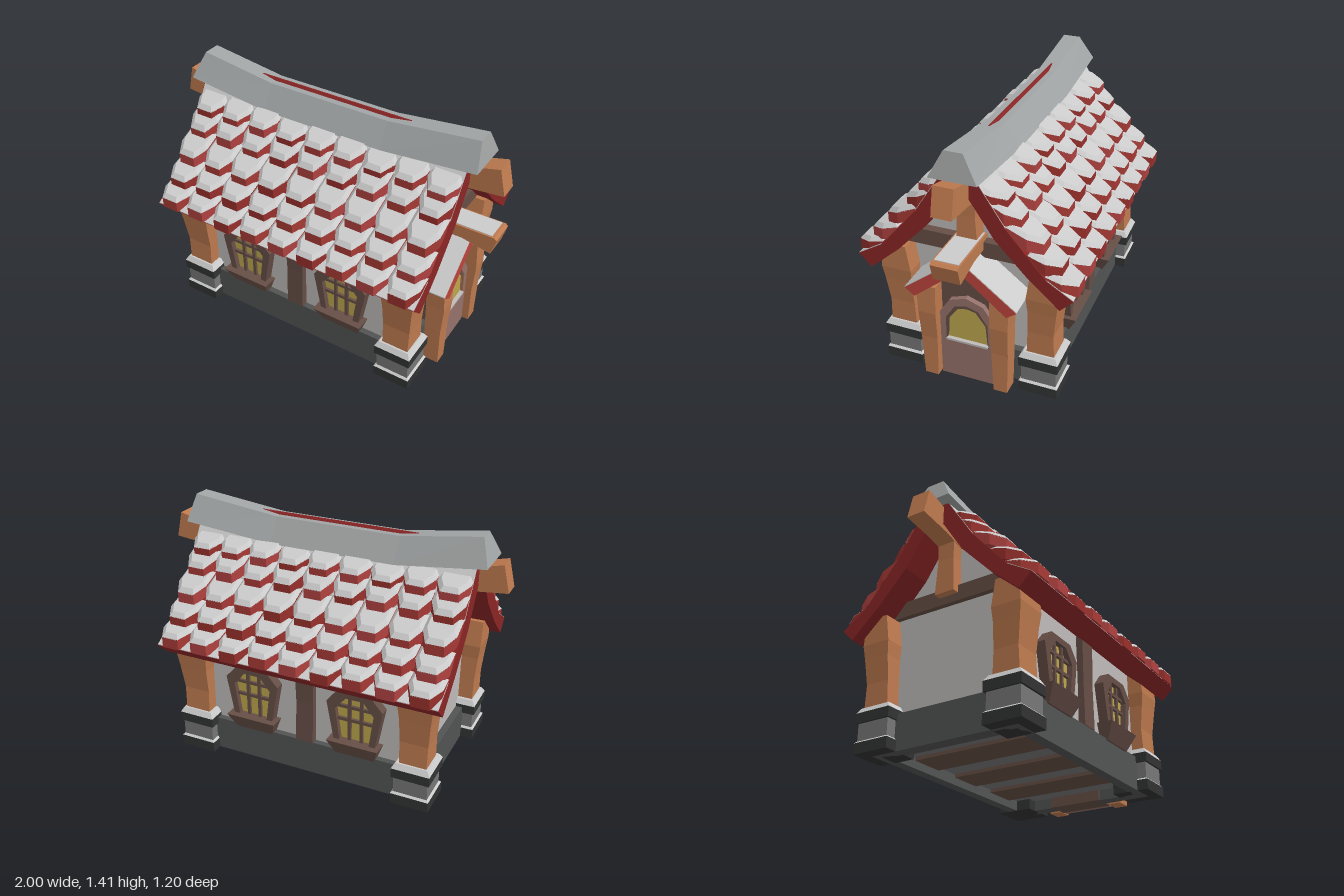
import * as THREE from 'three';

const mat = (color) => new THREE.MeshStandardMaterial({ color, flatShading: true });
const M = {
  wall: mat(0xbebbb9), snow: mat(0xc4c6c8), cap: mat(0xa2a5a5), timber: mat(0xbe7a4f), dark: mat(0x664e46),
  door: mat(0x95716a), glass: mat(0xbda64c), roof: mat(0x8a2525), porch: mat(0xbc443c),
  base: mat(0x525353), stone: mat(0x767676), band: mat(0x323333),
};
const tileReds = [mat(0xa83a36), mat(0x98302c), mat(0xb04240)];

function add(parent, name, geometry, material) {
  const mesh = new THREE.Mesh(geometry, material);
  mesh.name = name;
  parent.add(mesh);
  return mesh;
}

// Closed outline from its +side points, mirrored about the middle
const mirrored = (pts) => [...pts, ...pts.slice().reverse().filter((p) => p[0] !== 0).map(([a, y]) => [-a, y])];
const toShape = (pts) => new THREE.Shape(pts.map(([a, b]) => new THREE.Vector2(a, b)));

// Extrusion along z from z0 to z1, with an optional hole
function prismZ(pts, z0, z1, hole) {
  const shape = toShape(pts);
  if (hole) shape.holes.push(toShape(hole));
  return new THREE.ExtrudeGeometry(shape, { depth: z1 - z0, bevelEnabled: false }).translate(0, 0, z0);
}
// Same along x; points are [z, y]
function prismX(pts, x0, x1, hole) {
  const flip = (p) => p && p.map(([z, y]) => [-z, y]);
  return prismZ(flip(pts), x0, x1, flip(hole)).rotateY(Math.PI / 2);
}
function box(x0, x1, y0, y1, z0, z1) {
  return new THREE.BoxGeometry(x1 - x0, y1 - y0, z1 - z0).translate((x0 + x1) / 2, (y0 + y1) / 2, (z0 + z1) / 2);
}
// Stacked rectangles, each ring [y, x0, x1, z0, z1]
function column(rings) {
  const n = rings.length - 1;
  const g = new THREE.BoxGeometry(1, 1, 1, 1, n, 1);
  const p = g.attributes.position;
  for (let i = 0; i < p.count; i++) {
    const [y, x0, x1, z0, z1] = rings[Math.round((p.getY(i) + 0.5) * n)];
    p.setXYZ(i, p.getX(i) < 0 ? x0 : x1, y, p.getZ(i) < 0 ? z0 : z1);
  }
  g.computeVertexNormals();
  return g;
}

// Stone plinth with a carved timber post; out is the sign of its outward x
function corner(out) {
  const g = new THREE.Group();
  g.name = 'corner';
  const ring = (y, r) => [y, -r, r, 0.392 - r, 0.392 + r];
  add(g, 'plinthFoot', column([ring(0, 0.108), ring(0.06, 0.108)]), M.band);
  add(g, 'plinthFootSnow', column([ring(0.06, 0.108), ring(0.07, 0.098)]), M.snow);
  add(g, 'plinthBlock', column([ring(0.06, 0.096), ring(0.17, 0.096)]), M.stone);
  add(g, 'plinthBand', column([ring(0.165, 0.108), ring(0.22, 0.108)]), M.band);
  add(g, 'plinthSnow', column([ring(0.22, 0.108), ring(0.25, 0.09)]), M.snow);
  // Rings as [y, inner x, outer x, z0, z1]
  const rings = [
    [0.24, -0.074, 0.08, 0.32, 0.472], [0.38, -0.076, 0.082, 0.325, 0.466],
    [0.52, -0.078, 0.094, 0.328, 0.482], [0.6, -0.086, 0.104, 0.322, 0.492], [0.75, -0.086, 0.104, 0.345, 0.48],
  ];
  add(g, 'cornerPost', column(rings.map(([y, a, b, z0, z1]) => (out > 0 ? [y, a, b, z0, z1] : [y, -b, -a, z0, z1]))), M.timber);
  return g;
}

function windowUnit() {
  const g = new THREE.Group();
  g.name = 'window';
  const hole = mirrored([[0.085, 0.275], [0.112, 0.475], [0.05, 0.55]]);
  add(g, 'windowFrame', prismZ(mirrored([[0.115, 0.25], [0.163, 0.51], [0.095, 0.586]]), 0.39, 0.455, hole), M.dark);
  add(g, 'windowPane', prismZ(hole, 0.39, 0.425), M.glass);
  for (const x of [-0.035, 0.035]) add(g, 'windowBar', box(x - 0.009, x + 0.009, 0.27, 0.55, 0.42, 0.44), M.dark);
  for (const y of [0.41, 0.49]) add(g, 'windowBar', box(-0.112, 0.112, y - 0.009, y + 0.009, 0.42, 0.44), M.dark);
  add(g, 'flowerBox', column([[0.19, -0.115, 0.115, 0.39, 0.445], [0.285, -0.15, 0.15, 0.39, 0.492]]), M.dark);
  return g;
}

// Rows of tiles on one slope: tip [z, y] and back [z, y] of each row's upper face
const ROWS = [
  [0.6, 0.775, 0.44, 0.815], [0.515, 0.868, 0.35, 0.92], [0.42, 0.968, 0.24, 1.045],
  [0.305, 1.085, 0.16, 1.155], [0.235, 1.18, 0.09, 1.225],
];
const BEVEL = 0.02;
function tileSlope() {
  const g = new THREE.Group();
  g.name = 'roofTiles';
  const pitch = 0.1825, w = pitch / 2 - 0.001;
  ROWS.forEach(([z, y, zb, yb], r) => {
    const len = z - zb;
    const outline = [[-0.05, 0], [0.05, 0], [w, 0.075], [w, len], [-w, len], [-w, 0.075]];
    // Lay flat, then lift towards the back so that the front faces stay upright
    const slant = (geometry) => {
      const p = geometry.rotateX(-Math.PI / 2).attributes.position;
      for (let i = 0; i < p.count; i++) p.setY(i, p.getY(i) - (p.getZ(i) * (yb - y)) / len);
      geometry.computeVertexNormals();
      return geometry;
    };
    const body = slant(prismZ(outline, -0.083, -BEVEL));
    // Snow cushion with bevelled edges
    const snow = slant(new THREE.ExtrudeGeometry(toShape(outline), {
      depth: 0.003, bevelThickness: BEVEL, bevelSize: BEVEL, bevelOffset: -BEVEL, bevelSegments: 1,
    }).translate(0, 0, -BEVEL - 0.003));
    for (let c = 0; c < 9; c++) {
      const tile = new THREE.Group();
      tile.name = 'tile';
      add(tile, 'tileBody', body, tileReds[(c * 5 + r * 7 + ((c * r) % 4)) % 3]);
      add(tile, 'tileSnow', snow, M.snow);
      tile.position.set((c - 4) * pitch, y + 0.005 * Math.sin(c * 2.3 + r * 4.1), z);
      g.add(tile);
    }
  });
  // Snow on the shell at the eave and below the ridge
  for (const [[z0, y0], [z1, y1]] of [[[0.45, 0.775], [0.588, 0.69]], [[0.09, 1.25], [0.24, 1.02]]]) {
    add(g, 'shellSnow', prismX([[z0, y0], [z1, y1], [z1, y1 + 0.005], [z0, y0 + 0.005]], -0.822, 0.822), M.snow);
  }
  return g;
}

function porch() {
  const g = new THREE.Group();
  g.name = 'porch';
  for (const s of [-1, 1]) {
    const ring = (y, x0, x1, a, b) => [y, x0, x1, Math.min(s * a, s * b), Math.max(s * a, s * b)];
    add(g, 'porchPost', column([
      ring(0, 0.72, 0.812, 0.163, 0.24), ring(0.25, 0.72, 0.815, 0.155, 0.248),
      ring(0.42, 0.72, 0.828, 0.152, 0.252), ring(0.585, 0.7, 0.82, 0.15, 0.26),
    ]), M.timber);
    add(g, 'porchRoofSnow', prismX([[0, 0.81], [s * 0.31, 0.57], [s * 0.31, 0.576], [0, 0.816]], 0.63, 0.848), M.snow);
  }
  add(g, 'porchRoof', prismX([[0, 0.81], [0.31, 0.57], [0.255, 0.53], [0, 0.74], [-0.255, 0.53], [-0.31, 0.57]], 0.63, 0.85), M.porch);
  add(g, 'porchGable', prismX(mirrored([[0.16, 0], [0.16, 0.61], [0, 0.745]]), 0.6, 0.745), M.dark);
  // Door with an arched, glazed light
  const door = mirrored([[0.155, 0], [0.152, 0.41], [0.095, 0.495], [0, 0.528]]);
  const rim = mirrored([[0.122, 0.235], [0.119, 0.38], [0.067, 0.46], [0, 0.48]]);
  const pane = mirrored([[0.114, 0.245], [0.105, 0.37], [0.05, 0.445], [0, 0.456]]);
  add(g, 'door', prismX(door, 0.63, 0.775, rim), M.door);
  add(g, 'doorRim', prismX(rim, 0.63, 0.768, pane), M.dark);
  add(g, 'doorPane', prismX(pane, 0.63, 0.76), M.glass);
  add(g, 'doorSill', box(0.75, 0.782, 0.235, 0.247, -0.118, 0.118), M.wall);
  // Short beam end above the porch
  add(g, 'porchBeam', prismZ([[0.62, 0.8], [0.81, 0.8], [0.975, 0.765], [1, 0.86], [0.985, 0.872], [0.62, 0.872]], -0.074, 0.074), M.timber);
  add(g, 'porchBeamSnow', box(0.66, 0.97, 0.871, 0.876, -0.065, 0.065), M.snow);
  return g;
}

export function createModel() {
  const model = new THREE.Group();
  model.name = 'cottage';

  // Foundation ring, floor and floor planks
  const rect = (x0, x1, z) => [[x0, -z], [x1, -z], [x1, z], [x0, z]];
  add(model, 'foundation', prismZ(rect(-0.71, 0.69, 0.435), 0, 0.2, rect(-0.63, 0.61, 0.375)).rotateX(-Math.PI / 2), M.base);
  add(model, 'floor', box(-0.65, 0.63, 0.06, 0.16, -0.38, 0.38), M.stone);
  for (const x of [-0.35, 0, 0.35]) add(model, 'floorPlank', box(x - 0.1, x + 0.1, 0.04, 0.07, -0.37, 0.37), M.dark);

  // Walls with gables
  add(model, 'walls', prismX(mirrored([[0.4, 0.15], [0.4, 0.74], [0.2, 0.96], [0.08, 1.14], [0, 1.25]]), -0.67, 0.65), M.wall);

  // Corner posts
  for (const [x, sx] of [[-0.675, -1], [0.652, 1]]) {
    for (const back of [false, true]) {
      const post = corner(back ? -sx : sx);
      post.position.x = x;
      post.rotation.y = back ? Math.PI : 0;
      model.add(post);
    }
  }

  // Windows and middle posts, front and back
  for (const turn of [0, Math.PI]) {
    const side = new THREE.Group();
    side.name = turn ? 'backWallParts' : 'frontWallParts';
    side.position.x = -0.02;
    side.rotation.y = turn;
    for (const x of [-0.3125, 0.3125]) {
      const w = windowUnit();
      w.position.x = x;
      side.add(w);
    }
    add(side, 'middlePost', column([[0.2, -0.048, 0.056, 0.38, 0.44], [0.45, -0.044, 0.058, 0.38, 0.435], [0.72, -0.05, 0.064, 0.38, 0.44]]), M.dark);
    model.add(side);
  }

  // Gable timbers and upturned ridge beam ends
  for (const s of [-1, 1]) {
    const gable = new THREE.Group();
    gable.name = 'gableTimbers';
    add(gable, 'crossBeam', box(0.6, 0.7, 0.755, 0.845, -0.36, 0.36), M.dark);
    add(gable, 'gablePost', column([[0.8, 0.6, 0.74, -0.06, 0.06], [1, 0.6, 0.735, -0.048, 0.05], [1.2, 0.6, 0.74, -0.055, 0.055]]), M.timber);
    add(gable, 'ridgeBeam', prismZ([[0.62, 1.07], [0.81, 1.11], [1, 1.13], [0.965, 1.28], [0.81, 1.24], [0.62, 1.2]], -0.054, 0.054), M.timber);
    if (s < 0) gable.rotation.y = Math.PI;
    model.add(gable);
  }
  model.add(porch());

  // Roof shell and tiles
  const outer = [[0.004, 1.358], [0.09, 1.25], [0.24, 1.02], [0.45, 0.775], [0.59, 0.69]];
  const inner = [[0.52, 0.62], [0.35, 0.77], [0.18, 0.95], [0.07, 1.12], [0, 1.22]];
  add(model, 'roofShell', prismX(mirrored([...outer, ...inner]), -0.84, 0.81), M.roof);
  for (const turn of [0, Math.PI]) {
    const slope = tileSlope();
    slope.position.x = -0.014;
    slope.rotation.y = turn;
    model.add(slope);
  }

  // Sagging ridge cap; stations [x bottom, x top, y bottom, y top]
  const stations = [[-0.9, -0.85, 1.27, 1.41], [-0.4, -0.4, 1.21, 1.345], [0.33, 0.33, 1.21, 1.345], [0.875, 0.85, 1.26, 1.405]];
  const cap = new THREE.BoxGeometry(1, 1, 1, 3, 1, 1);
  const p = cap.attributes.position;
  for (let i = 0; i < p.count; i++) {
    const st = stations[Math.round((p.getX(i) + 0.5) * 3)];
    const top = p.getY(i) > 0 ? 1 : 0;
    p.setXYZ(i, st[top], st[2 + top], Math.sign(p.getZ(i)) * (top ? 0.05 : 0.128));
  }
  cap.computeVertexNormals();
  add(model, 'ridgeCap', cap, M.cap);
  return model;
}
